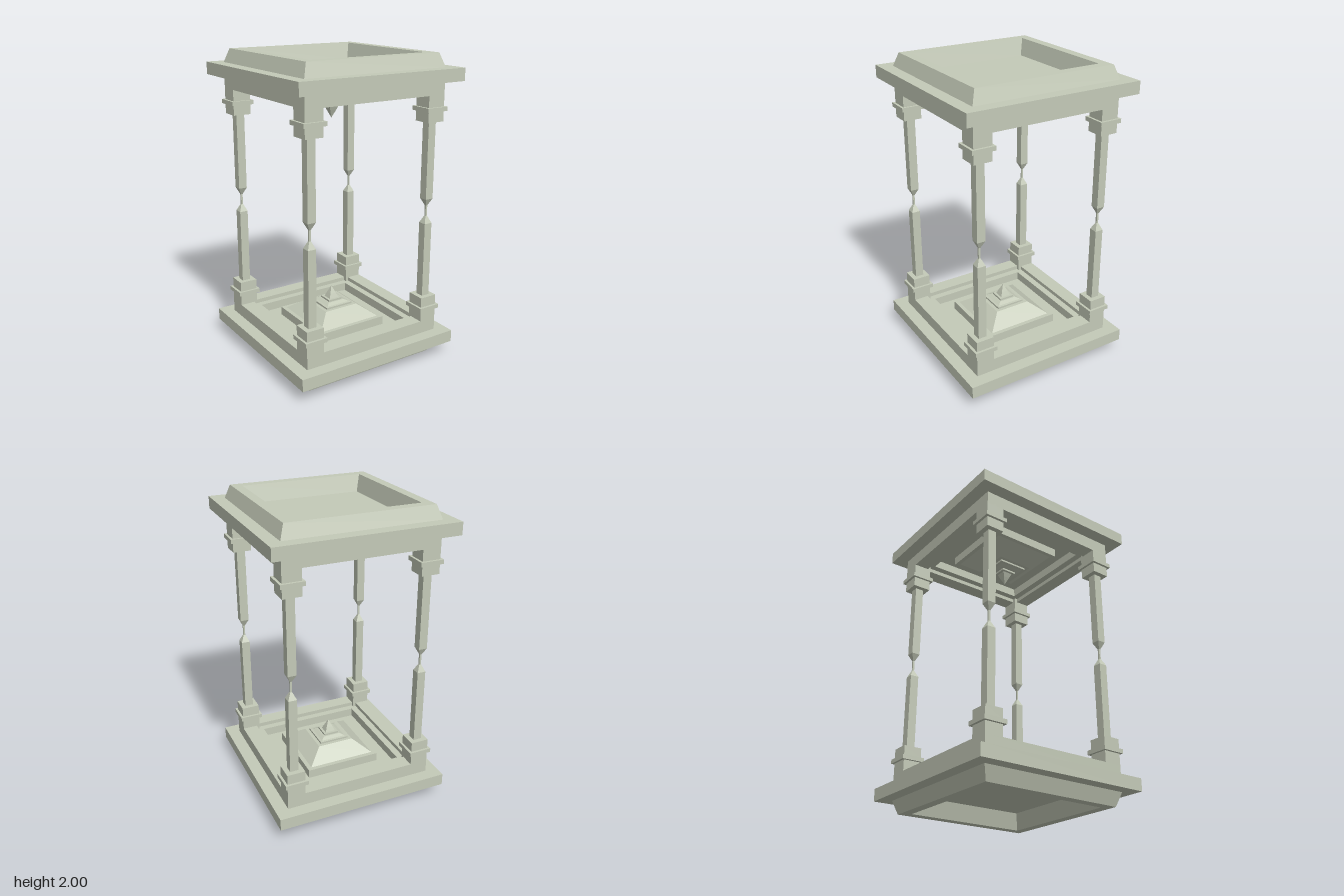
import * as THREE from 'three';

const stone = new THREE.MeshStandardMaterial({ color: 0xc4cab8 });
stone.name = 'pale stone';

// Square solid of revolution: profile of [half width, y] pairs, going up the outside
function squareTurned(name, profile) {
  const points = profile.map(([h, y]) => new THREE.Vector2(h * Math.SQRT2, y));
  const geometry = new THREE.LatheGeometry(points, 4, Math.PI / 4).toNonIndexed();
  geometry.computeVertexNormals(); // crisp facets
  const mesh = new THREE.Mesh(geometry, stone);
  mesh.name = name;
  return mesh;
}

// One end of the frame, standing on y = 0; the other end is the same turned over
function createEnd(name) {
  const end = new THREE.Group();
  end.name = name;

  // Slab with bevelled rim and sunken outer panel
  end.add(squareTurned('slab', [
    [0, 0.107], [0.378, 0.107], [0.407, 0], [0.469, 0], [0.499, 0.087],
    [0.582, 0.087], [0.582, 0.167], [0, 0.167],
  ]));

  // Beam ring with a stepped inner edge
  end.add(squareTurned('beamRing', [
    [0.499, 0.167], [0.499, 0.252], [0.4, 0.252], [0.4, 0.225],
    [0.355, 0.225], [0.355, 0.167],
  ]));

  // Stepped centrepiece
  end.add(squareTurned('pedestal', [
    [0.253, 0.167], [0.253, 0.225], [0.225, 0.225], [0.123, 0.302],
    [0.1, 0.302], [0.1, 0.314], [0.085, 0.316], [0.06, 0.328],
    [0.051, 0.328], [0.051, 0.34], [0, 0.34],
  ]));
  end.add(squareTurned('spire', [[0.034, 0.34], [0.022, 0.37], [0, 0.42]]));

  // Corner posts: collared block and half of the pinched shaft
  for (const sx of [-1, 1]) {
    for (const sz of [-1, 1]) {
      const post = new THREE.Group();
      post.name = 'cornerPost';
      post.position.set(sx * 0.439, 0, sz * 0.439);
      post.add(squareTurned('block', [
        [0.06, 0.167], [0.06, 0.325], [0.076, 0.325], [0.076, 0.352],
        [0.06, 0.352], [0.06, 0.418], [0, 0.418],
      ]));
      post.add(squareTurned('shaft', [
        [0.028, 0.418], [0.028, 0.918], [0.006, 0.965], [0.006, 1],
      ]));
      end.add(post);
    }
  }
  return end;
}

export function createModel() {
  const model = new THREE.Group();
  model.name = 'squareLanternFrame';

  const bottom = createEnd('bottomEnd');
  const top = createEnd('topEnd');
  top.rotation.x = Math.PI;
  top.position.y = 2;
  model.add(bottom, top);

  // The whole frame stands turned about its axis
  const root = new THREE.Group();
  model.rotation.y = -0.311;
  root.add(model);
  return root;
}
